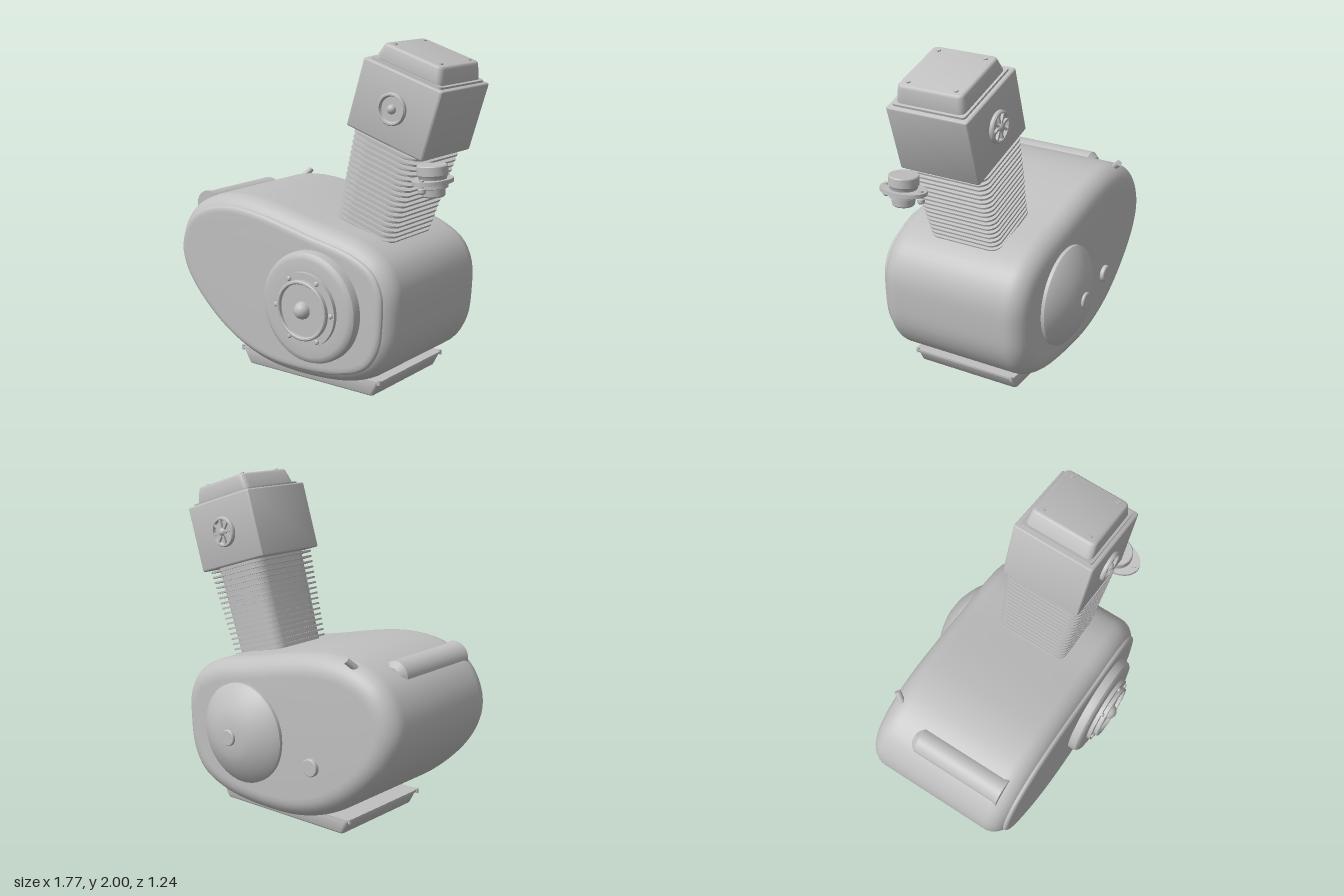
import * as THREE from 'three';
import { toCreasedNormals } from 'three/addons/utils/BufferGeometryUtils.js';

const metal = new THREE.MeshStandardMaterial({ color: 0xc0c0c0 });
metal.name = 'grey metal';

function add(parent, name, geometry, x = 0, y = 0, z = 0) {
  const mesh = new THREE.Mesh(geometry, metal);
  mesh.name = name;
  mesh.position.set(x, y, z);
  parent.add(mesh);
  return mesh;
}

// Turned part; profile is [radius, distance], axis 'y', 'z' or '-z'
function turned(profile, axis = 'y', segments = 48) {
  const lathe = new THREE.LatheGeometry(profile.map(([r, h]) => new THREE.Vector2(r, h)), segments);
  if (axis !== 'y') lathe.rotateX(axis === 'z' ? Math.PI / 2 : -Math.PI / 2);
  return toCreasedNormals(lathe, 0.5);
}

// Upright block with rounded corners, standing on y = 0, tapering to the top size
function block(w, d, h, corner, bevel = 0, topW = w, topD = d) {
  const a = w / 2, b = d / 2, s = new THREE.Shape();
  s.moveTo(a, b - corner);
  s.absarc(a - corner, b - corner, corner, 0, Math.PI / 2);
  s.absarc(corner - a, b - corner, corner, Math.PI / 2, Math.PI);
  s.absarc(corner - a, corner - b, corner, Math.PI, Math.PI * 1.5);
  s.absarc(a - corner, corner - b, corner, Math.PI * 1.5, Math.PI * 2);
  const g = new THREE.ExtrudeGeometry(s, {
    depth: h - 2 * bevel, bevelEnabled: bevel > 0, bevelSize: bevel,
    bevelThickness: bevel, bevelOffset: -bevel, bevelSegments: 3, curveSegments: 5,
  });
  g.translate(0, 0, bevel).rotateX(-Math.PI / 2);
  const p = g.attributes.position;
  for (let i = 0; i < p.count; i++) {
    const t = p.getY(i) / h;
    p.setX(i, p.getX(i) * (1 + t * (topW / w - 1)));
    p.setZ(i, p.getZ(i) * (1 + t * (topD / d - 1)));
  }
  return toCreasedNormals(g, 0.6);
}

// Egg-shaped case outline, extruded from z0 to z1 with rounded rims
const outline = new THREE.CatmullRomCurve3([
  [-0.885, 0.7], [-0.83, 0.54], [-0.68, 0.36], [-0.45, 0.19], [-0.2, 0.1], [0.1, 0.08],
  [0.4, 0.115], [0.58, 0.2], [0.67, 0.34], [0.697, 0.52], [0.69, 0.7], [0.62, 0.83], [0.47, 0.92],
  [0.15, 0.995], [-0.2, 1.07], [-0.4, 1.09], [-0.6, 1.065], [-0.77, 0.98], [-0.86, 0.85],
].map(([x, y]) => new THREE.Vector3(x, y, 0)), true, 'centripetal')
  .getSpacedPoints(96).slice(0, -1).map((p) => new THREE.Vector2(p.x, p.y));

function casePart(z0, z1, inset, rim, rimDepth) {
  const g = new THREE.ExtrudeGeometry(new THREE.Shape(outline), {
    depth: z1 - z0 - 2 * rimDepth, bevelSize: rim, bevelThickness: rimDepth,
    bevelOffset: -rim - inset, bevelSegments: 8,
  });
  return toCreasedNormals(g.translate(0, 0, z0 + rimDepth), 0.6);
}

export function createModel() {
  const engine = new THREE.Group();
  engine.name = 'engine';

  // Crankcase and its front panel
  add(engine, 'crankcase', casePart(-0.48, 0.463, 0, 0.12, 0.12));
  add(engine, 'frontPanel', casePart(0.35, 0.474, 0.06, 0.04, 0.02));

  // Front round cover with flange, ring, hub and bolts
  const front = new THREE.Group();
  front.name = 'frontCover';
  front.position.set(0.185, 0.542, 0);
  engine.add(front);
  add(front, 'coverDisc', turned([
    [0.322, 0.4], [0.322, 0.505], [0.316, 0.524], [0.302, 0.536], [0.28, 0.541],
    [0.213, 0.541], [0.213, 0.565], [0.172, 0.565], [0.172, 0.588], [0.166, 0.593],
    [0.157, 0.593], [0.152, 0.588], [0.152, 0.57], [0, 0.57]], 'z', 64));
  add(front, 'hubDome', new THREE.SphereGeometry(0.05, 24, 16), 0, 0, 0.57);
  for (let i = 0; i < 6; i++) {
    const a = i * Math.PI / 3;
    add(front, 'coverBolt', turned([[0.014, 0.55], [0.014, 0.573], [0.008, 0.579], [0, 0.579]], 'z', 12),
      0.192 * Math.cos(a), 0.192 * Math.sin(a), 0);
  }

  // Rear dome with hub, and a small plug beside it
  add(engine, 'rearDome', turned([
    [0.297, 0.44], [0.297, 0.5], [0.285, 0.512], [0.25, 0.538], [0.21, 0.562],
    [0.16, 0.586], [0.11, 0.601], [0.05, 0.606], [0, 0.606]], '-z', 64), 0.185, 0.545, 0);
  add(engine, 'rearHub', turned([[0.048, 0.59], [0.048, 0.617], [0.043, 0.622], [0, 0.622]], '-z', 24), 0.185, 0.545, 0);
  add(engine, 'rearPlug', turned([[0.052, 0.45], [0.052, 0.5], [0.047, 0.505], [0, 0.505]], '-z', 24), -0.33, 0.45, 0);

  // Drum lying in the top of the case
  add(engine, 'topDrum', turned([
    [0, -0.235], [0.055, -0.235], [0.085, -0.2], [0.085, 0.34], [0.092, 0.365], [0.092, 0.37], [0, 0.37]], 'z', 40),
    -0.69, 0.98, 0);

  // Slanted filler tube
  const filler = new THREE.LineCurve3(new THREE.Vector3(-0.61, 1.0, -0.36), new THREE.Vector3(-0.552, 1.095, -0.455));
  const tube = add(engine, 'fillerTube', new THREE.CylinderGeometry(0.019, 0.019, filler.getLength(), 16));
  tube.position.copy(filler.getPoint(0.5));
  tube.quaternion.setFromUnitVectors(new THREE.Vector3(0, 1, 0), filler.getTangent(0));

  // Sump with flange, drain plug and corner bolts
  add(engine, 'sump', block(0.91, 0.65, 0.09, 0.02, 0.008, 1.0, 0.665), 0.03, 0.028, 0);
  add(engine, 'sumpFlange', block(1.015, 0.67, 0.012, 0.02), 0.03, 0.113, 0);
  add(engine, 'drainPlug', new THREE.CylinderGeometry(0.027, 0.027, 0.035, 16), 0.025, 0.0175, 0);
  for (const x of [-0.475, 0.53]) for (const z of [-0.32, 0.32]) {
    add(engine, 'sumpBolt', new THREE.CylinderGeometry(0.011, 0.011, 0.028, 10), x, 0.118, z);
  }

  // Leaning barrel and head; origin at the head centre
  const barrel = new THREE.Group();
  barrel.name = 'barrelAndHead';
  barrel.position.set(0.55, 1.655, -0.002);
  barrel.rotation.z = -0.3;
  engine.add(barrel);
  add(barrel, 'barrelCore', block(0.34, 0.41, 0.66, 0.07, 0, 0.355, 0.45), 0, -0.84, 0);
  const fins = 17;
  for (let i = 0; i < fins; i++) {
    const t = i / (fins - 1);
    add(barrel, 'coolingFin', block(0.395 + 0.05 * t, 0.455 + 0.045 * t, 0.011, 0.06), 0, -0.735 + 0.515 * t, 0);
  }
  add(barrel, 'cylinderHead', block(0.525, 0.495, 0.4, 0.014, 0.01), 0, -0.2, 0);
  add(barrel, 'coverGasket', block(0.475, 0.445, 0.014, 0.02), 0, 0.198, 0);
  add(barrel, 'valveCover', block(0.45, 0.42, 0.103, 0.035, 0.015, 0.385, 0.395), 0, 0.202, 0);
  for (const x of [-0.152, 0.152]) for (const z of [-0.145, 0.145]) {
    add(barrel, 'valveCoverBolt', new THREE.CylinderGeometry(0.012, 0.012, 0.016, 12), x, 0.304, z);
  }

  // Round bosses on the front and back of the head
  for (const axis of ['z', '-z']) {
    const side = axis === 'z' ? 1 : -1;
    add(barrel, 'headBoss', turned([
      [0.09, 0.23], [0.09, 0.262], [0.084, 0.27], [0.075, 0.27], [0.068, 0.253], [0, 0.253]], axis, 40));
    add(barrel, 'bossHub', new THREE.SphereGeometry(0.027, 20, 12), 0, 0, side * 0.254);
  }
  for (let i = 0; i < 4; i++) {
    add(barrel, 'bossSpoke', new THREE.BoxGeometry(0.15, 0.014, 0.016), 0, 0, -0.26).rotation.z = i * Math.PI / 4;
  }

  // Carburettor cup with an oval flange, bowl and two ear bolts
  const carb = new THREE.Group();
  carb.name = 'carburettor';
  carb.position.set(0.785, 1.285, 0.2);
  carb.rotation.z = 0.08;
  engine.add(carb);
  add(carb, 'carburettorCup', turned([
    [0, -0.01], [0.07, -0.01], [0.078, 0.025], [0.085, 0.035], [0.085, 0.082], [0.08, 0.088], [0, 0.088]]));
  add(carb, 'carburettorFlange', new THREE.CylinderGeometry(0.1, 0.1, 0.022, 40), 0, 0, 0).scale.z = 1.4;
  add(carb, 'carburettorBowl', turned([
    [0, -0.085], [0.055, -0.085], [0.062, -0.078], [0.066, -0.04], [0.08, -0.036], [0.08, -0.005], [0, -0.005]]));
  for (const z of [-0.112, 0.112]) {
    add(carb, 'earBolt', turned([
      [0, -0.055], [0.012, -0.055], [0.022, -0.045], [0.022, -0.028], [0.013, -0.022],
      [0.013, 0.02], [0, 0.02]], 'y', 14), 0, 0, z);
  }
  return engine;
}
